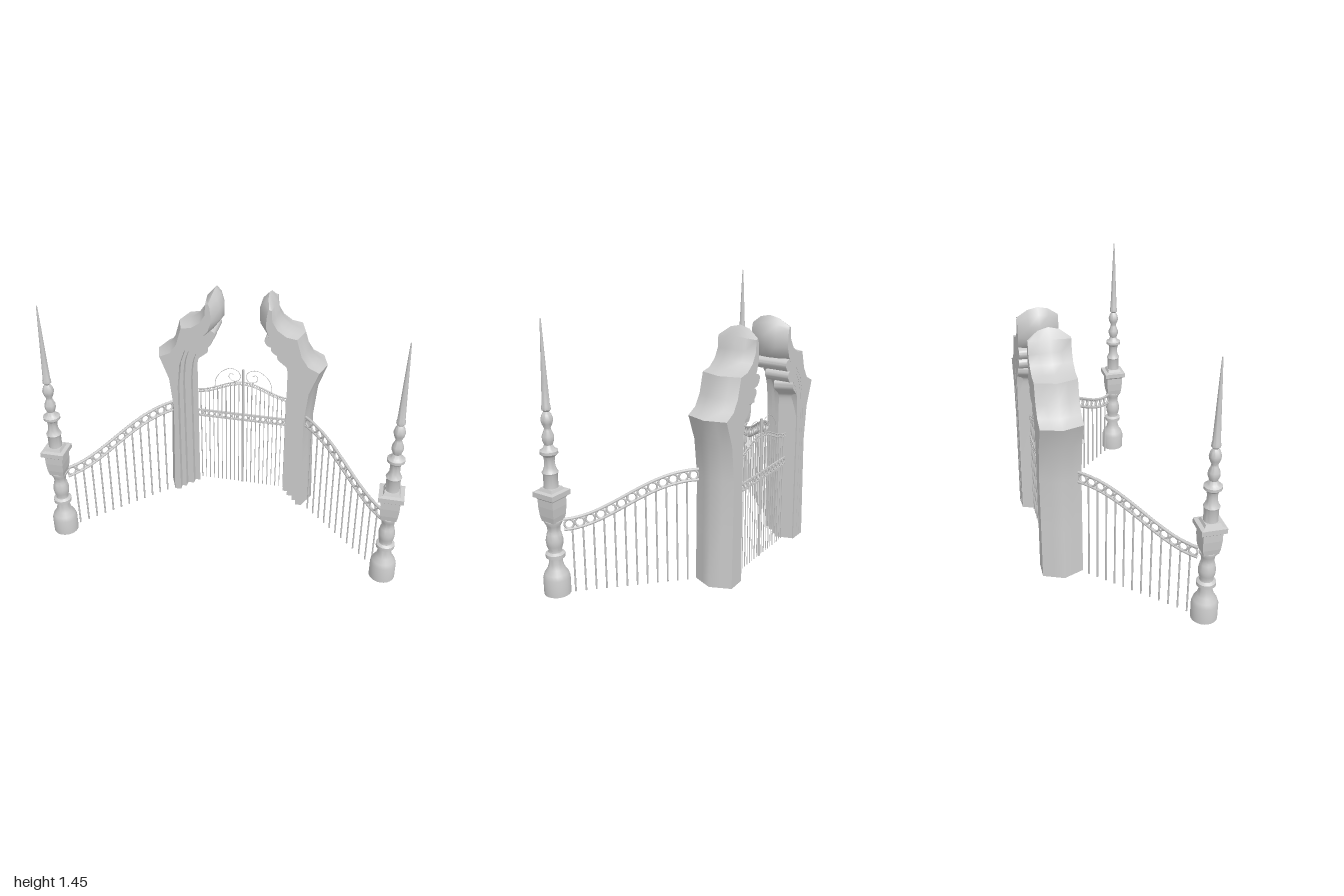
import * as THREE from 'three';
import { toCreasedNormals } from 'three/addons/utils/BufferGeometryUtils.js';

const V = (x, y, z = 0) => new THREE.Vector3(x, y, z);
const smooth = new THREE.MeshStandardMaterial({ color: 0xcccccc });
const flat = new THREE.MeshStandardMaterial({ color: 0xcccccc, flatShading: true });

function add(parent, name, geometry, material = smooth) {
  const mesh = new THREE.Mesh(geometry, material);
  mesh.name = name;
  parent.add(mesh);
  return mesh;
}

function group(parent, name) {
  const g = new THREE.Group();
  g.name = name;
  parent.add(g);
  return g;
}

const tube = (points, r, segments = 32, sides = 6) =>
  new THREE.TubeGeometry(new THREE.CatmullRomCurve3(points), segments, r, sides);

// Upright round bar standing at x, z from y0 to y1
function bar(parent, name, x, z, y0, y1, r) {
  add(parent, name, new THREE.CylinderGeometry(r, r, y1 - y0, 6)).position.set(x, (y0 + y1) / 2, z);
}

const BACK = -0.405, FRONT = -0.18;

// Pillar outline at the front and back faces: x, y, then the offset of the middle ridge
const BODY = [
  [0.364, 0, 0, 0], [0.402, 0, 0.047, 0], [0.395, 0.3, 0.045, 0], [0.388, 0.6, 0.042, 0],
  [0.41, 0.8, 0.04, 0], [0.463, 0.94, 0.034, 0],
  [0.4, 0.97, 0.034, 0.005], [0.36, 1.03, 0.034, 0], [0.33, 1.135, 0.034, 0],
  [0.27, 1.145, 0.03, 0.01], [0.22, 1.18, 0.03, 0.01], [0.19, 1.23, 0.025, 0.01],
  [0.185, 1.295, 0.014, 0.01], [0.17, 1.3, -0.018, 0.055], [0.162, 1.28, -0.043, 0.04],
  [0.157, 1.24, -0.056, 0.02], [0.155, 1.19, -0.054, 0], [0.175, 1.13, -0.03, 0],
  [0.2, 1.1, 0, 0], [0.26, 1.06, 0, 0], [0.315, 0.99, 0, 0], [0.345, 0.9, 0, 0], [0.36, 0.75, 0, 0],
];

// Inner edges of the stepped mouldings, from the foot to the scrolled nose
const MOULDINGS = [
  [[0.337, 0], [0.337, 0.76], [0.322, 0.91], [0.275, 1.01], [0.21, 1.045], [0.165, 1.055], [0.143, 1.085], [0.15, 1.11], [0.18, 1.12]],
  [[0.3, 0], [0.3, 0.76], [0.287, 0.88], [0.25, 0.965], [0.2, 0.985], [0.175, 1.01], [0.178, 1.04], [0.21, 1.052]],
  [[0.268, 0], [0.268, 0.8], [0.264, 0.88], [0.235, 0.91], [0.208, 0.935], [0.203, 0.965], [0.215, 0.985], [0.245, 0.99]],
];

function pillar(parent, side) {
  const g = group(parent, 'gatePillar');
  // Main body: ridged on the outer edge, rounded at the tip
  const shape = new THREE.Shape(BODY.map(([x, y]) => new THREE.Vector2(side * x, y)));
  const depth = FRONT - BACK;
  const geo = new THREE.ExtrudeGeometry(shape, { depth, steps: 4, bevelEnabled: false });
  const p = geo.attributes.position;
  for (let i = 0; i < p.count; i++) {
    const inward = 1 - Math.abs(p.getZ(i) / depth - 0.5) * 2;
    const x = p.getX(i) * side, y = p.getY(i);
    const q = BODY.find(b => Math.hypot(b[0] - x, b[1] - y) < 1e-4);
    const f = q[2] > 0 ? inward : 1 - (1 - inward) ** 2;
    p.setXY(i, side * (x + q[2] * f), y + q[3] * f);
  }
  geo.translate(0, 0, BACK);
  add(g, 'pillarBody', toCreasedNormals(geo, 0.9));

  // Each moulding steps further back from the front
  MOULDINGS.forEach((edge, k) => {
    const foot = new THREE.Vector2(side * edge[0][0], 0);
    const curve = new THREE.SplineCurve(edge.slice(1).map(([x, y]) => new THREE.Vector2(side * x, y)));
    const hidden = [[0.25, 1.09], [0.32, 1.02], [0.355, 0.9], [0.37, 0.75], [0.37, 0]]
      .map(([x, y]) => new THREE.Vector2(side * x, y));
    const s = new THREE.Shape([foot, ...curve.getPoints(24), ...hidden]);
    const back = BACK + 0.001 * (k + 1);
    const m = new THREE.ExtrudeGeometry(s, { depth: FRONT - 0.04 * (k + 1) - back, bevelEnabled: false });
    // The innermost moulding slants away towards the back
    const mp = m.attributes.position;
    for (let i = 0; k === 2 && i < mp.count; i++) {
      const x = mp.getX(i);
      if (mp.getZ(i) < 0.01 && Math.abs(x) < 0.33) mp.setX(i, x + side * 0.034);
    }
    m.translate(0, 0, back);
    add(g, 'pillarMoulding', toCreasedNormals(m, 0.6));
  });
}

const lathe = (points, sides) =>
  new THREE.LatheGeometry(points.map(([r, y]) => new THREE.Vector2(r, y)), sides);

function post(parent, side) {
  const g = group(parent, 'spirePost');
  g.position.set(side * 0.927, 0, 0.335);
  // Round base and baluster
  const lower = [[0, 0.008], [0.07, 0.008], [0.07, 0.1], [0.062, 0.125], [0.045, 0.15], [0.036, 0.18],
    [0.036, 0.21], [0.05, 0.215], [0.05, 0.235], [0.036, 0.245], [0.034, 0.255], [0.042, 0.28], [0.045, 0.31],
    [0.038, 0.345], [0.032, 0.36], [0.036, 0.39], [0.046, 0.41], [0.046, 0.42], [0, 0.42]];
  add(g, 'postBase', toCreasedNormals(lathe(lower, 24), 0.7));
  // Square urn and cap slab; radii run to the corners
  const urn = [[0, 0.418], [0.04, 0.418], [0.046, 0.45], [0.05, 0.5], [0.05, 0.54], [0.058, 0.55],
    [0.066, 0.553], [0.066, 0.58], [0.045, 0.584], [0.038, 0.6], [0, 0.6]]
    .map(([r, y]) => [r * Math.SQRT2, y]);
  add(g, 'postUrn', lathe(urn, 4), flat).rotation.y = Math.PI / 4;
  // Turned shaft, beads and tapering spire
  const upper = [[0.04, 0.58], [0.037, 0.6], [0.037, 0.67], [0.042, 0.68], [0.036, 0.69], [0.028, 0.71],
    [0.026, 0.74], [0.03, 0.765], [0.046, 0.78], [0.046, 0.795], [0.03, 0.805], [0.021, 0.825],
    [0.03, 0.85], [0.03, 0.87], [0.018, 0.9], [0.016, 0.91], [0.027, 0.935], [0.031, 0.955], [0.024, 0.98],
    [0.014, 0.995], [0.023, 1.005], [0.023, 1.02], [0.02, 1.03], [0.015, 1.15], [0.008, 1.33], [0.003, 1.45], [0, 1.452]];
  add(g, 'postSpire', toCreasedNormals(lathe(upper, 20), 0.7));
}

// Row of rings between two rails
function ring(parent, x, y, z, r, t, turn = 0) {
  const m = add(parent, 'railRing', new THREE.TorusGeometry(r, t, 6, 18));
  m.position.set(x, y, z);
  m.rotation.y = turn;
}

function fence(parent, side) {
  const g = group(parent, 'sideFence');
  // Rail centre line sweeps down from pillar to post
  const at = (t, dy = 0) => V(side * (0.4 + 0.495 * t),
    0.39 + 0.215 * (0.5 + 0.5 * Math.cos(Math.PI * Math.pow(t, 1.1))) + dy, -0.2 + 0.495 * t);
  for (const dy of [0.029, -0.029]) {
    const pts = Array.from({ length: 17 }, (_, i) => at(i / 16, dy));
    add(g, 'fenceRail', tube(pts, 0.0085, 40));
  }
  const turn = -side * Math.PI / 4;
  for (let i = 0; i < 13; i++) {
    const c = at((i + 0.5) / 13);
    ring(g, c.x, c.y, c.z, 0.024, 0.0055, turn);
  }
  for (let i = 0; i < 12; i++) {
    const c = at(0.09 + i * 0.0773, -0.029);
    bar(g, 'fenceBar', c.x, c.z, 0.003, c.y, 0.005);
  }
}

function gateLeaf(parent, side) {
  const g = group(parent, 'gateLeaf');
  const z = -0.34, w = 0.285;
  const topY = x => 0.648 + 0.08 * (0.5 + 0.5 * Math.cos(Math.PI * x / w));
  // Curved double top rail
  for (const dy of [0.009, -0.009]) {
    const pts = Array.from({ length: 13 }, (_, i) => V(side * w * i / 12, topY(w * i / 12) + dy, z));
    add(g, 'topRail', tube(pts, 0.0035, 30));
  }
  for (let i = 0; i < 14; i++) {
    const x = (i + 0.5) * w / 14;
    ring(g, side * x, topY(x), z, 0.007, 0.002);
  }
  // Middle rail with rings
  for (const y of [0.47, 0.51]) {
    add(g, 'middleRail', new THREE.BoxGeometry(w, 0.009, 0.01)).position.set(side * w / 2, y, z);
  }
  for (let i = 0; i < 8; i++) ring(g, side * (i + 0.5) * w / 8, 0.49, z, 0.015, 0.004);
  // Upright bars
  for (let i = 1; i <= 10; i++) {
    const x = i * 0.0262;
    bar(g, 'gateBar', side * x, z, 0.003, topY(x), i % 2 ? 0.0022 : 0.0034);
  }
  // Scroll above the top rail
  const scroll = [[0.175, 0.675], [0.165, 0.745], [0.125, 0.8], [0.075, 0.822], [0.03, 0.805], [0.017, 0.77],
    [0.035, 0.742], [0.07, 0.742], [0.088, 0.768], [0.075, 0.79], [0.057, 0.78]];
  add(g, 'gateScroll', tube(scroll.map(([x, y]) => V(side * x, y, z)), 0.0018, 60, 5));
}

export function createModel() {
  const model = new THREE.Group();
  model.name = 'gateway';
  for (const side of [1, -1]) {
    pillar(model, side);
    post(model, side);
    fence(model, side);
    gateLeaf(model, side);
  }
  // Meeting post between the gate leaves
  bar(model, 'centrePost', 0, -0.34, 0.003, 0.822, 0.008);
  return model;
}
